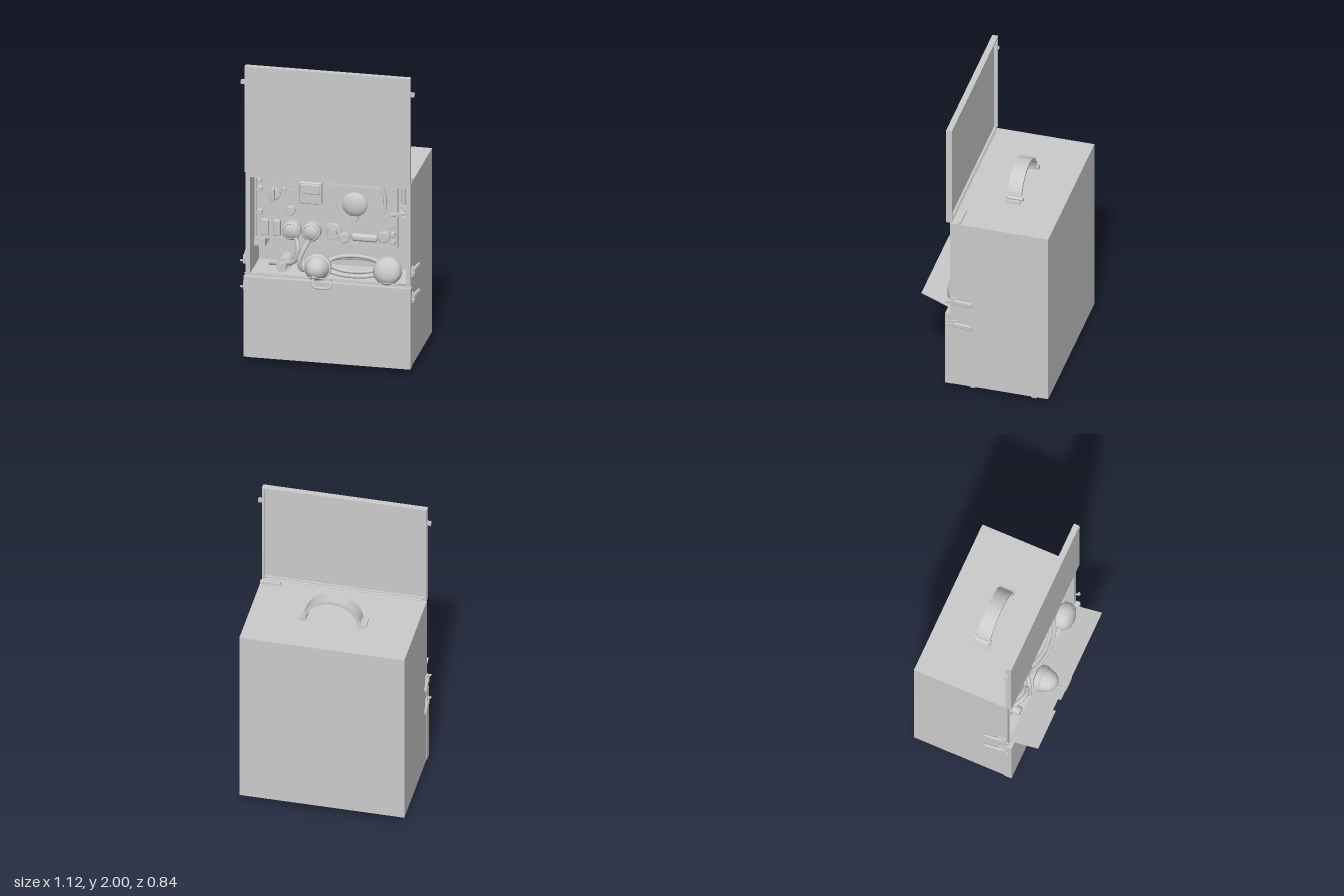
import * as THREE from 'three';
import { toCreasedNormals } from 'three/addons/utils/BufferGeometryUtils.js';
import { RoundedBoxGeometry } from 'three/addons/geometries/RoundedBoxGeometry.js';

const mat = new THREE.MeshStandardMaterial({ color: 0xcccccc });
const thin = new THREE.MeshStandardMaterial({ color: 0xcccccc, side: THREE.DoubleSide });
const V = (x, y, z) => new THREE.Vector3(x, y, z);

export function createModel() {
  const root = new THREE.Group();

  const add = (name, geo, x = 0, y = 0, z = 0, material = mat) => {
    const m = new THREE.Mesh(geo, material);
    m.name = name;
    m.position.set(x, y, z);
    root.add(m);
    return m;
  };
  // box given by its limits on each axis
  const box = (name, x0, x1, y0, y1, z0, z1) =>
    add(name, new THREE.BoxGeometry(x1 - x0, y1 - y0, z1 - z0), (x0 + x1) / 2, (y0 + y1) / 2, (z0 + z1) / 2);
  // turned part whose axis points to the front; profile is [radius, height]
  const turned = (name, profile, x, y, z, sides = 32) => {
    const g = new THREE.LatheGeometry(profile.map(p => new THREE.Vector2(...p)), sides);
    return add(name, toCreasedNormals(g.rotateX(Math.PI / 2), 0.6), x, y, z);
  };
  const knob = (name, x, y, z, r, h, sides) =>
    turned(name, [[r, 0], [r, h * 0.8], [r * 0.88, h], [0, h]], x, y, z, sides);
  const extrude = (name, shape, depth, x, y, z) =>
    add(name, toCreasedNormals(new THREE.ExtrudeGeometry(shape, { depth, bevelEnabled: false, curveSegments: 32 }), 0.5), x, y, z);
  const tube = (name, pts, r, closed = false, segs = 40) =>
    add(name, new THREE.TubeGeometry(new THREE.CatmullRomCurve3(pts, closed), segs, r, 8, closed));
  const rectPath = (p, x0, x1, y0, y1) =>
    p.moveTo(x0, y0).lineTo(x1, y0).lineTo(x1, y1).lineTo(x0, y1).closePath();

  // Case: solid rear body and an open front frame
  box('caseBody', -0.53, 0.53, 0.05, 1.285, -0.42, -0.05);
  const frame = new THREE.Shape(), opening = new THREE.Path();
  rectPath(frame, -0.53, 0.53, 0.05, 1.285);
  rectPath(opening, -0.5, 0.5, 0.6, 1.25);
  frame.holes.push(opening);
  extrude('caseFrame', frame, 0.27, 0, 0, -0.05);
  box('lowerCover', -0.535, 0.535, 0.052, 0.59, 0.2, 0.25);
  box('lowerCoverLip', -0.52, 0.52, 0.04, 0.053, 0.21, 0.225);

  // Feet
  for (const x of [-0.457, 0.457]) for (const z of [0.09, -0.31]) {
    const g = new THREE.CylinderGeometry(0.035, 0.026, 0.05, 6).toNonIndexed();
    g.computeVertexNormals();
    add('foot', g, x, 0.025, z).scale.x = 0.85;
  }

  // Raised lid, a shallow tray open to the back
  box('lidPanel', -0.53, 0.53, 1.29, 2, 0.23, 0.245);
  for (const s of [-1, 1]) box('lidSideRim', s * 0.522 - 0.008, s * 0.522 + 0.008, 1.3, 2, 0.207, 0.235);
  box('lidTopRim', -0.53, 0.53, 1.985, 2, 0.207, 0.235);
  box('lidBottomRim', -0.53, 0.53, 1.29, 1.302, 0.215, 0.235);
  add('lidHinge', new THREE.CylinderGeometry(0.007, 0.007, 1.0, 10).rotateZ(Math.PI / 2), 0, 1.287, 0.216);
  box('lidStay', 0.4, 0.53, 1.293, 1.305, 0.15, 0.175);
  box('lidStayPivot', 0.5, 0.525, 1.285, 1.305, 0.155, 0.17);

  // Side catches and latches
  for (const s of [-1, 1]) {
    add('lidCatch', new THREE.BoxGeometry(0.025, 0.03, 0.012), s * 0.542, 1.89, 0.225);
    add('lidCatchTip', new THREE.BoxGeometry(0.005, 0.022, 0.03), s * 0.553, 1.89, 0.222);
    for (const y of [0.69, 0.515]) {
      add('latchPlate', new THREE.BoxGeometry(0.01, 0.055, 0.05), s * 0.535, y, 0.19);
      const lever = add('latchLever', new RoundedBoxGeometry(0.018, 0.036, 0.12, 2, 0.008), s * 0.547, y, 0.13);
      lever.rotation.y = -s * 0.1;
      tube('latchHook', [V(s * 0.543, y, 0.17), V(s * 0.54, y, 0.21), V(s * 0.548, y, 0.238), V(s * 0.557, y, 0.228)], 0.007, false, 12);
      add('latchPin', new THREE.CylinderGeometry(0.006, 0.006, 0.056, 10), s * 0.542, y, 0.205);
    }
  }

  // Carrying handle: arched strap with end feet and loops
  const arch = new THREE.Shape();
  arch.moveTo(0.185, 0).absellipse(0, 0, 0.185, 0.165, 0, Math.PI, false, 0);
  arch.lineTo(-0.165, 0).absellipse(0, 0, 0.165, 0.143, Math.PI, 0, true, 0);
  extrude('handleStrap', arch, 0.09, 0, 1.287, -0.146);
  for (const s of [-1, 1]) {
    add('handleFoot', new THREE.BoxGeometry(0.05, 0.012, 0.09), s * 0.195, 1.291, -0.101);
    const loop = add('handleLoop', new THREE.BoxGeometry(0.03, 0.014, 0.11), s * 0.18, 1.306, -0.105);
    loop.rotation.z = -s * 0.5;
    for (const z of [-0.155, -0.055])
      add('handleLoopSide', new THREE.BoxGeometry(0.028, 0.03, 0.01), s * 0.18, 1.297, z);
  }

  // Instrument panel and the narrow bay beside it
  box('panel', -0.49, 0.425, 0.81, 1.24, -0.05, 0.125);
  box('sideBay', 0.425, 0.5, 0.81, 1.25, -0.05, 0.09);
  const zp = 0.125;
  const rim = new THREE.Shape(), rimHole = new THREE.Path();
  rectPath(rim, -0.49, 0.425, 0.81, 1.24);
  rectPath(rimHole, -0.48, 0.415, 0.82, 1.23);
  rim.holes.push(rimHole);
  extrude('panelRim', rim, 0.006, 0, 0, zp);

  // Meter window
  add('meterHousing', new RoundedBoxGeometry(0.145, 0.145, 0.03, 2, 0.008), -0.128, 1.143, zp + 0.012);
  add('meterGlass', new RoundedBoxGeometry(0.125, 0.065, 0.02, 2, 0.006), -0.128, 1.172, zp + 0.024);

  // Tuning dial with wing-shaped cover, scale ring, hub and pointer
  const dial = (r) => {
    const s = new THREE.Shape(), a = Math.asin(0.095 / r);
    s.absarc(0, 0, r, Math.PI - a, 2 * Math.PI + a, false);
    return s;
  };
  extrude('dialPlate', dial(0.2), 0.02, 0.16, 1.125, zp);
  extrude('dialFace', dial(0.183), 0.008, 0.16, 1.125, zp + 0.02);
  const wing = new THREE.Shape([[-0.165, 0.09], [-0.185, 0.03], [-0.085, -0.02], [0.085, -0.02], [0.185, 0.03], [0.165, 0.09]]
    .reverse().map(p => new THREE.Vector2(...p)));
  extrude('dialWing', wing, 0.008, 0.16, 1.125, zp + 0.028);
  const scale = new THREE.Shape();
  scale.absarc(0, 0, 0.165, Math.PI * 1.08, Math.PI * 1.92, false);
  scale.absarc(0, 0, 0.125, Math.PI * 1.92, Math.PI * 1.08, true);
  extrude('dialScale', scale, 0.006, 0.16, 1.125, zp + 0.028);
  turned('dialHub', [[0.08, 0], [0.08, 0.02], [0.07, 0.032], [0.04, 0.042], [0, 0.045]], 0.16, 1.1, zp + 0.028);
  knob('dialPointer', 0.16, 1.005, zp + 0.028, 0.023, 0.025);
  add('dialPointerTip', new THREE.ConeGeometry(0.018, 0.05, 12), 0.16, 1.03, zp + 0.035);

  // Selector with a ring of marks
  knob('selectorBase', -0.365, 1.115, zp, 0.04, 0.02);
  add('selectorGrip', new RoundedBoxGeometry(0.022, 0.09, 0.04, 2, 0.008), -0.365, 1.12, zp + 0.035);
  for (let i = 0; i < 9; i++) {
    const a = Math.PI * (0.15 + 0.0875 * i);
    knob('selectorMark', -0.365 + 0.085 * Math.cos(a), 1.115 + 0.085 * Math.sin(a), zp, 0.005, 0.006, 8);
  }

  // Small knobs and screws: x, y, radius, height
  [[-0.457, 1.2, 0.017, 0.03], [-0.457, 1.145, 0.02, 0.03], [-0.457, 0.99, 0.02, 0.03], [-0.257, 1.015, 0.03, 0.03],
   [-0.3, 1.15, 0.014, 0.02], [-0.235, 1.145, 0.01, 0.015], [-0.24, 1.2, 0.01, 0.015], [0.39, 1.2, 0.013, 0.015],
   [-0.03, 1.2, 0.01, 0.015], [-0.03, 1.08, 0.01, 0.015], [0.087, 0.86, 0.035, 0.03], [0.342, 0.885, 0.037, 0.03],
   [-0.03, 0.95, 0.01, 0.012], [0.39, 0.95, 0.012, 0.012]]
    .forEach(([x, y, r, h]) => knob('smallKnob', x, y, zp, r, h, 20));
  for (const x of [-0.42, -0.345]) add('switchCover', new RoundedBoxGeometry(0.045, 0.105, 0.03, 2, 0.006), x, 0.89, zp + 0.01);

  // Large cord plugs, jack and connector bar
  for (const x of [-0.246, -0.12]) {
    turned('cordPlug', [[0.06, 0], [0.06, 0.05], [0.05, 0.06], [0.047, 0.057], [0.03, 0.068], [0, 0.07]], x, 0.89, zp);
  }
  turned('jack', [[0.058, 0], [0.055, 0.02], [0.038, 0.022], [0.036, 0.012], [0.027, 0.012], [0.025, 0.03], [0, 0.03]], 0.013, 0.89, zp);
  add('connectorBar', new RoundedBoxGeometry(0.17, 0.05, 0.04, 4, 0.02), 0.215, 0.868, zp + 0.01);
  for (const y of [0.85, 0.905]) add('terminal', new RoundedBoxGeometry(0.025, 0.03, 0.03, 2, 0.005), 0.4, y, zp + 0.01);

  // Rod, clamp and fittings in the side bay
  add('bayRod', new THREE.CylinderGeometry(0.014, 0.014, 0.2, 16), 0.462, 1.14, 0.11);
  box('bayClamp', 0.435, 0.49, 1.07, 1.1, 0.09, 0.14);
  add('wingNut', new RoundedBoxGeometry(0.1, 0.022, 0.02, 2, 0.006), 0.435, 1.05, 0.15).rotation.z = 0.15;
  knob('wingNutHub', 0.45, 1.05, 0.09, 0.018, 0.08, 16);
  box('bayBlock', 0.44, 0.485, 0.96, 1.02, 0.09, 0.13);
  box('bayBracket', 0.48, 0.498, 0.83, 1.23, 0.09, 0.12);

  // Cords running down into the compartment
  tube('cord', [V(-0.21, 0.85, 0.185), V(-0.195, 0.78, 0.21), V(-0.22, 0.7, 0.2), V(-0.3, 0.66, 0.15), V(-0.4, 0.63, 0.08)], 0.015);
  tube('cord', [V(-0.13, 0.84, 0.185), V(-0.165, 0.77, 0.21), V(-0.185, 0.7, 0.22), V(-0.17, 0.65, 0.2), V(-0.1, 0.64, 0.15)], 0.015);

  // Stowed items on the compartment floor
  add('stowedHandset', new THREE.CylinderGeometry(0.045, 0.045, 0.12, 20).rotateX(Math.PI / 2), -0.3, 0.65, 0.1);
  add('stowedHandsetNeck', new THREE.CylinderGeometry(0.028, 0.028, 0.06, 16).rotateX(Math.PI / 2), -0.3, 0.65, 0.18);
  box('stowedBox', -0.49, -0.42, 0.76, 0.81, 0, 0.14);

  // Headset: two ear cups joined by looped bands
  const cupA = turned('earCup', [[0, -0.03], [0.07, -0.03], [0.085, -0.02], [0.087, 0.015], [0.078, 0.02], [0.075, 0.04],
    [0.062, 0.072], [0.042, 0.095], [0.02, 0.106], [0, 0.109]], -0.06, 0.69, 0.25);
  cupA.rotation.x = -0.17;
  const cupB = turned('earCup', [[0, -0.05], [0.07, -0.05], [0.09, -0.03], [0.09, 0.005], [0.075, 0.03], [0.045, 0.045], [0, 0.05]], 0.38, 0.69, 0.222);
  cupB.rotation.x = -0.25;
  for (const [rx, rz, y] of [[0.2, 0.085, 0.66], [0.165, 0.06, 0.68]]) {
    const pts = Array.from({ length: 16 }, (_, i) => {
      const a = i * Math.PI / 8;
      return V(0.15 + rx * Math.cos(a), y - 0.03 * Math.sin(a), 0.12 + rz * Math.sin(a));
    });
    tube('headband', pts, 0.012, true, 64);
  }

  // Drop-down flap: curved sheet with a notched front edge
  const sheet = new THREE.Shape();
  [[-0.495, 0], [0.495, 0], [0.495, 1], [-0.14, 1], [-0.14, 0.9], [-0.22, 0.9], [-0.22, 1], [-0.495, 1]]
    .forEach(([x, y], i) => i ? sheet.lineTo(x, y) : sheet.moveTo(x, y));
  const flap = new THREE.ExtrudeGeometry(sheet, { depth: 0.006, bevelEnabled: false });
  const p = flap.attributes.position;
  for (let i = 0; i < p.count; i++) { // lay the sheet flat, then slope it up to the front
    const t = p.getY(i);
    p.setXYZ(i, p.getX(i), 0.6 + 0.08 * t + p.getZ(i), 0.215 + 0.2 * t);
  }
  flap.computeVertexNormals();
  add('flap', flap, 0, 0, 0, thin);
  for (const x of [-0.06, 0.055]) add('flapRivet', new THREE.SphereGeometry(0.01, 12, 8), x, 0.67, 0.375);
  tube('flapHandle', [V(-0.06, 0.66, 0.38), V(-0.063, 0.638, 0.392), V(-0.05, 0.615, 0.4), V(0, 0.612, 0.402),
    V(0.045, 0.615, 0.4), V(0.058, 0.638, 0.392), V(0.055, 0.66, 0.38)], 0.008);

  return root;
}
